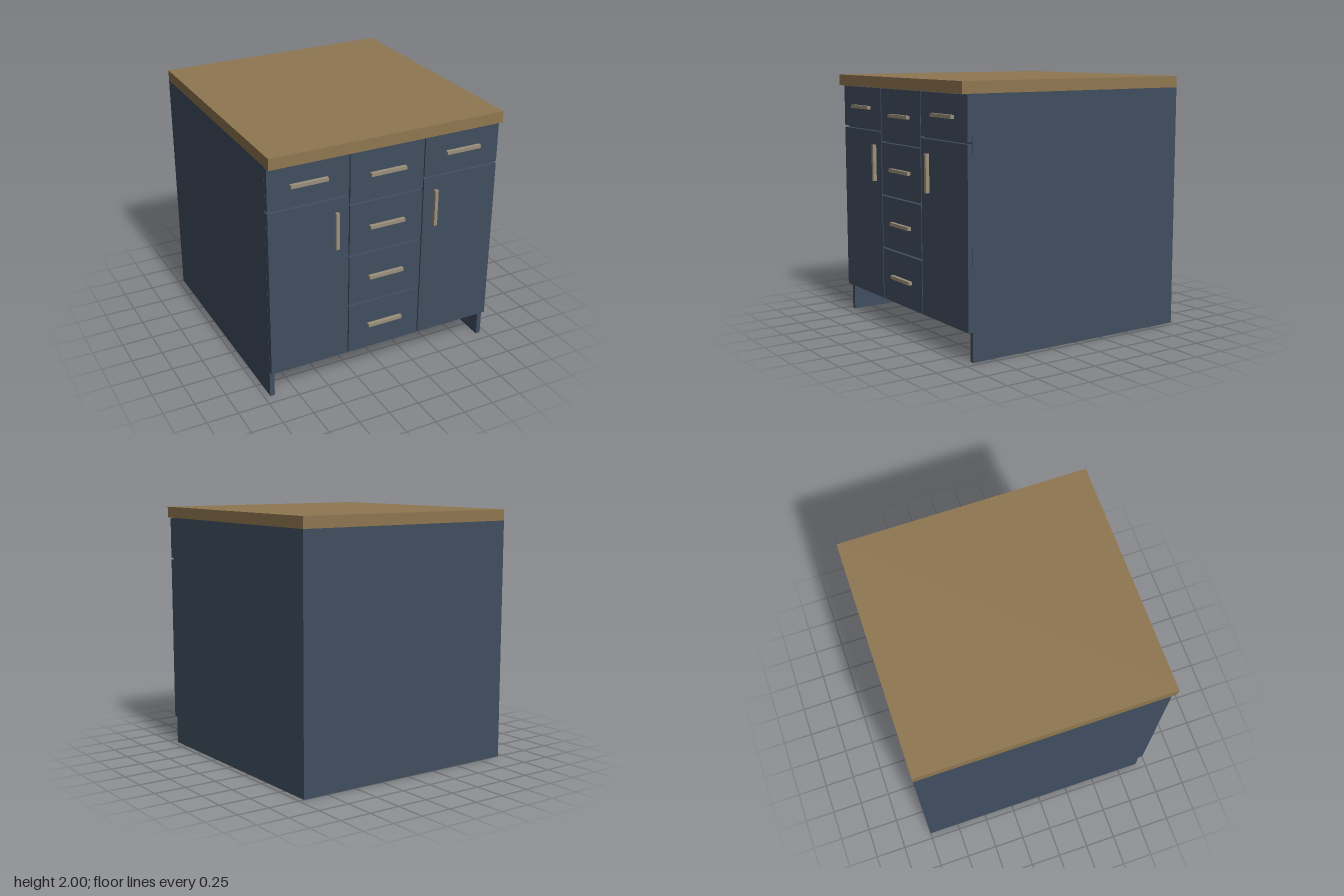
import * as THREE from 'three';

const flat = (name, color) => {
  const m = new THREE.MeshStandardMaterial({ color });
  m.name = name;
  return m;
};

export function createModel() {
  const group = new THREE.Group();
  group.name = 'kitchenIsland';
  const paint = flat('bluePaint', 0x414e60);
  const wood = flat('wood', 0x8f7650);
  const metal = flat('handleMetal', 0x9a907c);

  // Box given by its lower and upper limits on each axis
  const box = (name, mat, [x0, x1], [y0, y1], [z0, z1]) => {
    const mesh = new THREE.Mesh(new THREE.BoxGeometry(x1 - x0, y1 - y0, z1 - z0), mat);
    mesh.position.set((x0 + x1) / 2, (y0 + y1) / 2, (z0 + z1) / 2);
    mesh.name = name;
    group.add(mesh);
  };
  const mirror = (s, a, b) => (s > 0 ? [a, b] : [-b, -a]);

  const W = 0.955, top = 1.912, base = 0.222, face = 0.918;
  const frontZ = [face, 0.956], handleZ = [0.956, 0.985];
  const handle = (x, y, w, h) =>
    box('handle', metal, [x - w / 2, x + w / 2], [y - h / 2, y + h / 2], handleZ);

  // Worktop and back
  box('worktop', wood, [-W, W], [top, 2], [-1, 1]);
  box('backPanel', paint, [-W + 0.038, W - 0.038], [0, top], [-1, -0.985]);

  for (const s of [1, -1]) {
    const side = s > 0 ? 'left' : 'right';
    // Carcass: side panel, open-bottomed bay divider and rail
    box(side + 'SidePanel', paint, mirror(s, W - 0.038, W), [0, top], [-1, face]);
    box(side + 'Divider', paint, mirror(s, 0.292, 0.328), [base, top], [-0.985, face]);
    box(side + 'Rail', paint, mirror(s, 0.328, W - 0.038), [1.55, 1.588], [face - 0.1, face]);

    // Door with a drawer above it
    box(side + 'Door', paint, mirror(s, 0.314, W - 0.001), [base, 1.563], frontZ);
    box(side + 'Drawer', paint, mirror(s, 0.314, W - 0.001), [1.578, 1.906], frontZ);
    handle(s * 0.636, 1.745, 0.292, 0.027);
    handle(s * 0.415, 1.31, 0.027, 0.292);
  }

  // Central stack of four drawers with rails behind the gaps
  const pitch = 0.4245;
  for (let i = 0; i < 4; i++) {
    const y = base + i * pitch;
    box('centreDrawer', paint, [-0.305, 0.305], [y, y + 0.411], frontZ);
    handle(0, y + 0.207, 0.292, 0.027);
    if (i > 0) box('centreRail', paint, [-0.292, 0.292], [y - 0.026, y + 0.012], [face - 0.1, face]);
  }
  return group;
}
